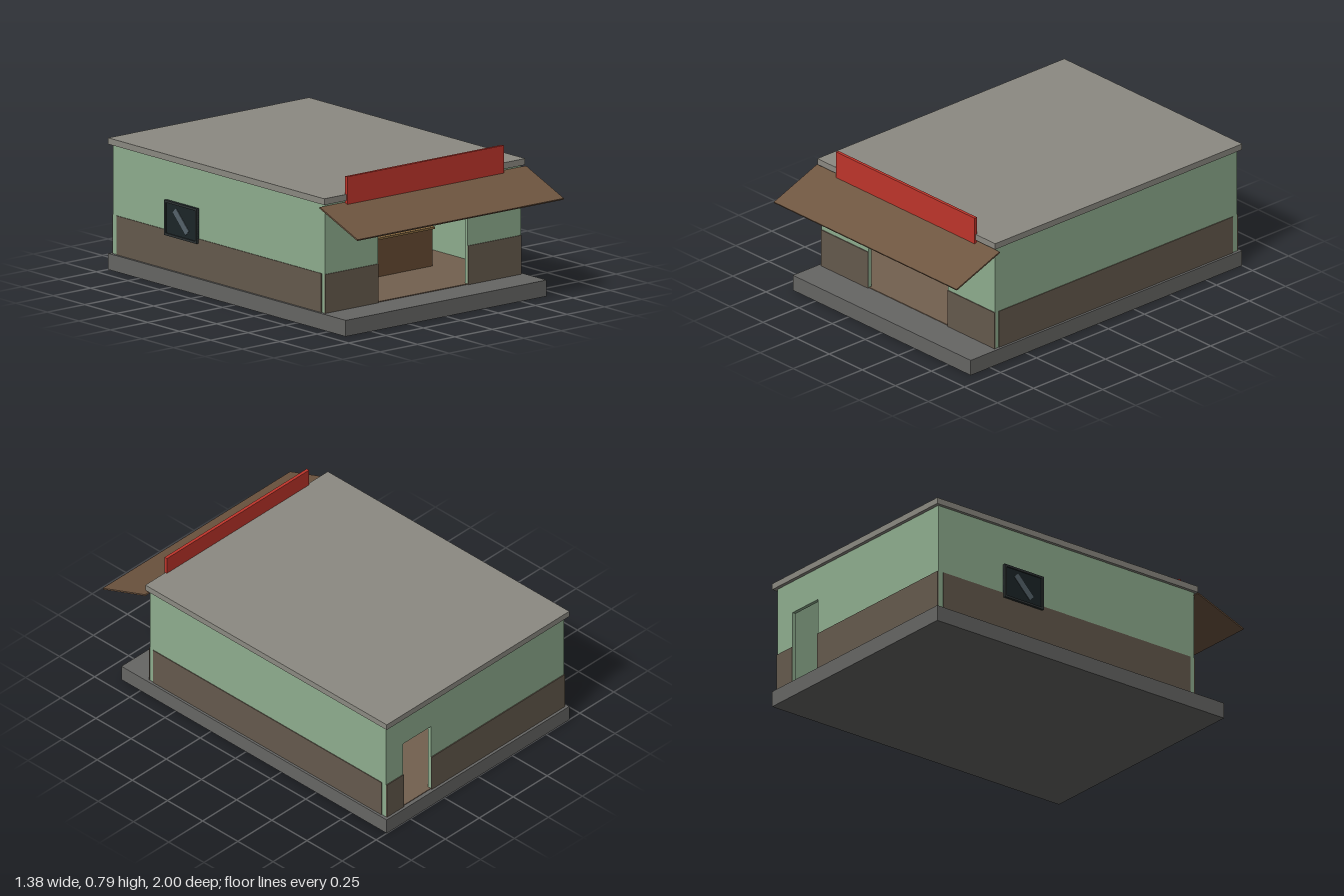
import * as THREE from 'three';

const mat = (color) => new THREE.MeshStandardMaterial({ color });
const M = {
  wall: mat(0x8fae8f), trim: mat(0x655a4d), slab: mat(0x666664), roof: mat(0x8c8a82),
  red: mat(0xc0352b), awning: mat(0x6e5540), floor: mat(0x73604f), counter: mat(0x654a32),
  counterTop: mat(0x86683f), metal: mat(0x77777a), post: mat(0x3a403c), board: mat(0x5f4630),
  crate: mat(0x5a4230), tin: mat(0x50604a), frame: mat(0x2c3233), glass: mat(0x1c2528), glint: mat(0x55636b),
};

// Box given by its extents along each axis
function box(parent, name, material, [x0, x1], [y0, y1], [z0, z1]) {
  const mesh = new THREE.Mesh(new THREE.BoxGeometry(x1 - x0, y1 - y0, z1 - z0), material);
  mesh.position.set((x0 + x1) / 2, (y0 + y1) / 2, (z0 + z1) / 2);
  mesh.name = name;
  parent.add(mesh);
  return mesh;
}

// Wall in the xy plane, notched from the ground up by an opening
function wallWithOpening(parent, name, material, w, y0, y1, [a, b], top, z, depth) {
  const s = new THREE.Shape();
  s.moveTo(-w, y0);
  s.lineTo(a, y0);
  if (top < y1) { s.lineTo(a, top); s.lineTo(b, top); s.lineTo(b, y0); }
  s.lineTo(w, y0);
  s.lineTo(w, y1);
  s.lineTo(-w, y1);
  const mesh = new THREE.Mesh(new THREE.ExtrudeGeometry(s, { depth, bevelEnabled: false }), material);
  mesh.position.z = z;
  mesh.name = name;
  parent.add(mesh);
}

// Shelf unit: four posts, boards at even steps
function shelfUnit(parent, name, x0, x1) {
  const g = new THREE.Group();
  g.name = name;
  const z0 = -0.95, z1 = -0.82, t = 0.01;
  for (const x of [x0, x1 - t])
    for (const z of [z0, z1 - t]) box(g, 'shelfPost', M.post, [x, x + t], [0.09, 0.52], [z, z + t]);
  for (let i = 0; i < 4; i++) {
    const y = 0.11 + i * 0.12;
    box(g, 'shelfBoard', M.board, [x0 + t, x1 - t], [y, y + 0.008], [z0, z1]);
  }
  parent.add(g);
}

export function createModel() {
  const model = new THREE.Group();
  model.name = 'smallShop';
  const W = 0.655, G = 0.085, TOP = 0.665, BACK = -0.98, FRONT = 0.70, T = 0.02;
  const opening = [-0.3, 0.3], door = [0.325, 0.53];

  // Ground slab and indoor floor
  box(model, 'groundSlab', M.slab, [-0.672, 0.672], [0, G], [-1, 0.885]);
  box(model, 'floor', M.floor, [-W + T, W - T], [G - 0.01, G + 0.004], [BACK + T, FRONT - 0.003]);
  box(model, 'doorSill', M.floor, door, [G - 0.01, G + 0.004], [BACK + 0.002, BACK + T]);

  // Walls
  wallWithOpening(model, 'frontWall', M.wall, W, G, TOP, opening, 0.515, FRONT - T, T);
  wallWithOpening(model, 'backWall', M.wall, W, G, TOP, door, 0.485, BACK, T);
  for (const s of [-1, 1]) {
    const side = s < 0 ? 'right' : 'left';
    const span = (a, b) => (s < 0 ? [-b, -a] : [a, b]);
    box(model, side + 'Wall', M.wall, span(W - T, W), [G, TOP], [BACK + T, FRONT - T]);
    // Brown lower panels on the sides and beside the shop opening
    box(model, side + 'Wainscot', M.trim, span(W, W + 0.004), [G, 0.29], [-0.95, 0.675]);
    box(model, side + 'FrontWainscot', M.trim, span(0.3, W + 0.002), [G, 0.29], [FRONT, FRONT + 0.005]);
  }
  // Lower panels either side of the back door
  for (const x of [[-W, door[0]], [door[1], W]])
    box(model, 'backWainscot', M.trim, x, [G, 0.29], [BACK - 0.005, BACK]);

  // Roof, sign board and rolled shutter housing
  box(model, 'roof', M.roof, [-0.672, 0.672], [0.66, 0.693], [-1, 0.715]);
  box(model, 'signBoard', M.red, [-0.524, 0.524], [0.62, 0.787], [0.705, 0.722]);
  box(model, 'shutterHousing', M.metal, opening, [0.506, 0.6], [FRONT, 0.718]);

  // Sloping awning
  const rise = 0.115, run = 0.3;
  const awning = new THREE.Mesh(new THREE.BoxGeometry(1.38, 0.008, Math.hypot(rise, run)), M.awning);
  awning.position.set(0, 0.588, 0.849);
  awning.rotation.x = Math.atan2(rise, run);
  awning.name = 'awning';
  model.add(awning);

  // Counter
  box(model, 'counter', M.counter, [-0.41, 0.41], [G, 0.285], [0.14, 0.29]);
  box(model, 'counterTop', M.counterTop, [-0.42, 0.42], [0.285, 0.296], [0.13, 0.3]);

  // Shelves and goods along the back wall
  shelfUnit(model, 'middleShelf', -0.17, 0.168);
  shelfUnit(model, 'sideShelf', -0.63, -0.292);
  box(model, 'crate', M.crate, [-0.152, -0.077], [0.358, 0.434], [-0.92, -0.84]);
  box(model, 'tin', M.tin, [0.005, 0.112], [0.358, 0.419], [-0.92, -0.84]);

  // Side window: frame, pane and diagonal glint
  const win = new THREE.Group();
  win.name = 'sideWindow';
  const y = [0.265, 0.45], z = [-0.555, -0.3], f = 0.012;
  box(win, 'windowPane', M.glass, [-0.666, -W], y, z);
  for (const e of [[y[0], y[0] + f], [y[1] - f, y[1]]]) box(win, 'windowRail', M.frame, [-0.672, -W], e, z);
  for (const e of [[z[0], z[0] + f], [z[1] - f, z[1]]]) box(win, 'windowStile', M.frame, [-0.672, -W], y, e);
  const glint = box(win, 'glint', M.glint, [-0.669, -0.663], [0.34, 0.375], [-0.5, -0.355]);
  glint.rotation.x = Math.PI / 4;
  model.add(win);

  return model;
}
